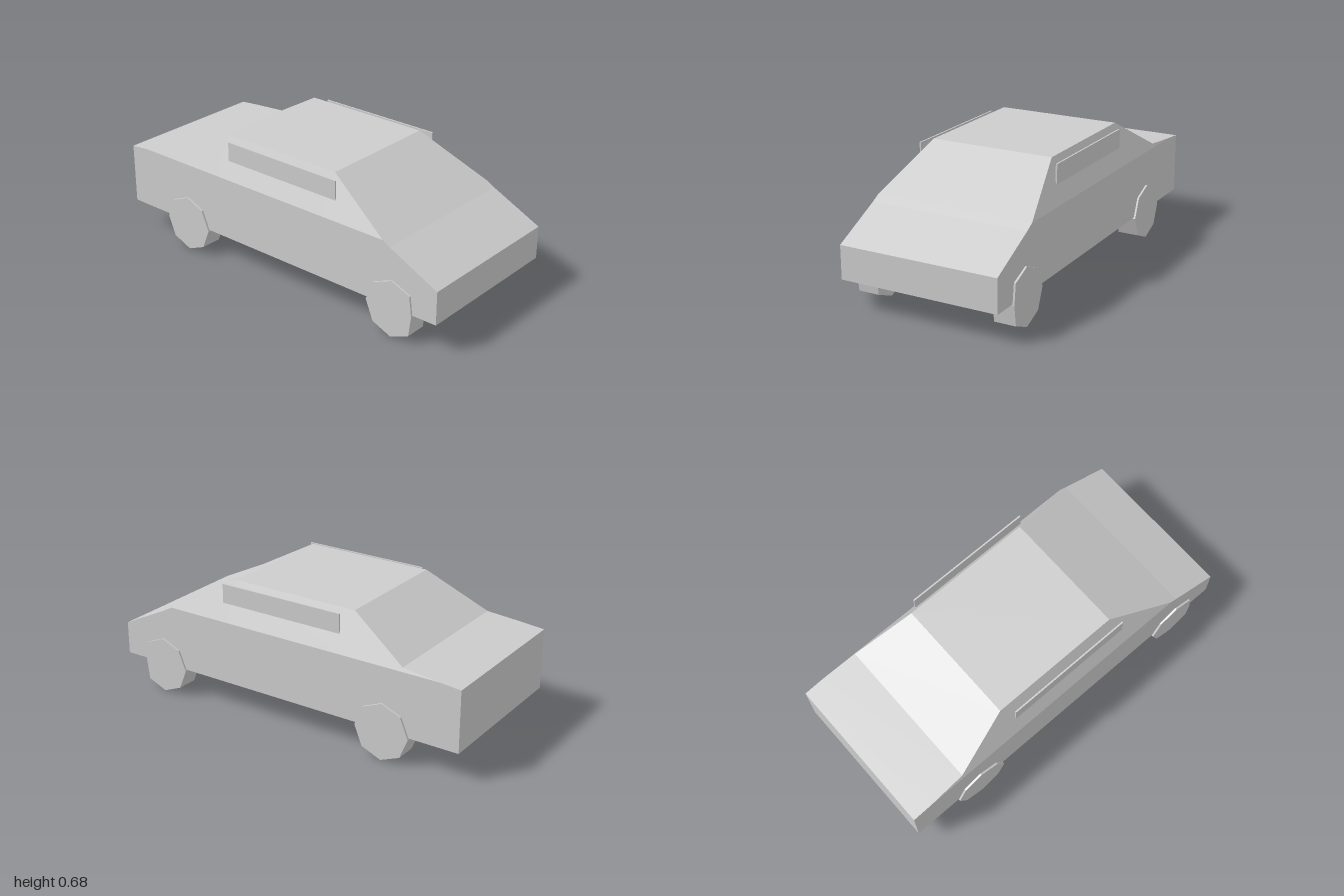
import * as THREE from 'three';

const grey = new THREE.MeshStandardMaterial({ color: 0xcccccc, flatShading: true });
grey.name = 'light grey';

const FLOOR = 0.157, SHOULDER = 0.485, HALF = 0.42, LEAN = 0.45;

function add(group, name, geometry, x = 0, y = 0, z = 0) {
  const mesh = new THREE.Mesh(geometry, grey);
  mesh.name = name;
  mesh.position.set(x, y, z);
  group.add(mesh);
}

// Body shell lofted through cross-sections; sides lean in above the shoulder
function bodyGeometry() {
  const profile = [ // z, top height
    [1, 0.33], [0.73, 0.461], [0.687, SHOULDER], [0.328, 0.685],
    [-0.375, 0.685], [-0.69, 0.504], [-0.893, SHOULDER], [-1, 0.475],
  ];
  const rings = profile.map(([z, top]) => {
    const s = Math.min(SHOULDER, top);
    const w = HALF - (top - s) * LEAN;
    return [[-HALF, FLOOR], [HALF, FLOOR], [HALF, s], [w, top], [-w, top], [-HALF, s]]
      .map(([x, y]) => [x, y, z]);
  });
  const pos = [];
  const tri = (...corners) => corners.forEach((c) => pos.push(...c));
  for (let i = 0; i < rings.length - 1; i++) {
    for (let j = 0; j < 6; j++) {
      const k = (j + 1) % 6;
      tri(rings[i][j], rings[i + 1][j], rings[i][k]);
      tri(rings[i][k], rings[i + 1][j], rings[i + 1][k]);
    }
  }
  // Nose and tail panels
  const nose = rings[0], tail = rings[rings.length - 1];
  for (let j = 1; j < 5; j++) {
    tri(nose[0], nose[j], nose[j + 1]);
    tri(tail[0], tail[j + 1], tail[j]);
  }
  const geometry = new THREE.BufferGeometry();
  geometry.setAttribute('position', new THREE.Float32BufferAttribute(pos, 3));
  geometry.computeVertexNormals();
  return geometry;
}

// Eight-sided wheel; frontReach sets how far its foremost corner sticks out
function wheelGeometry(frontReach) {
  const points = [];
  for (let i = 0; i < 8; i++) {
    const a = (i * Math.PI) / 4;
    const r = i === 0 ? frontReach : 0.148;
    points.push(new THREE.Vector2(Math.cos(a) * r, Math.sin(a) * r));
  }
  return new THREE.ExtrudeGeometry(new THREE.Shape(points), { depth: 0.113, bevelEnabled: false })
    .translate(0, 0, -0.0565)
    .rotateY(-Math.PI / 2);
}

export function createModel() {
  const model = new THREE.Group();
  model.name = 'car';
  add(model, 'body', bodyGeometry());

  for (const [side, s] of [['left', 1], ['right', -1]]) {
    add(model, `${side}FrontWheel`, wheelGeometry(0.118), s * 0.3735, 0.151, 0.75);
    add(model, `${side}RearWheel`, wheelGeometry(0.148), s * 0.3735, 0.151, -0.59);
    // Upright roof rail standing on the sloping side
    add(model, `${side}RoofRail`, new THREE.BoxGeometry(0.008, 0.1, 0.695), s * 0.379, 0.621, 0.026);
  }
  return model;
}
